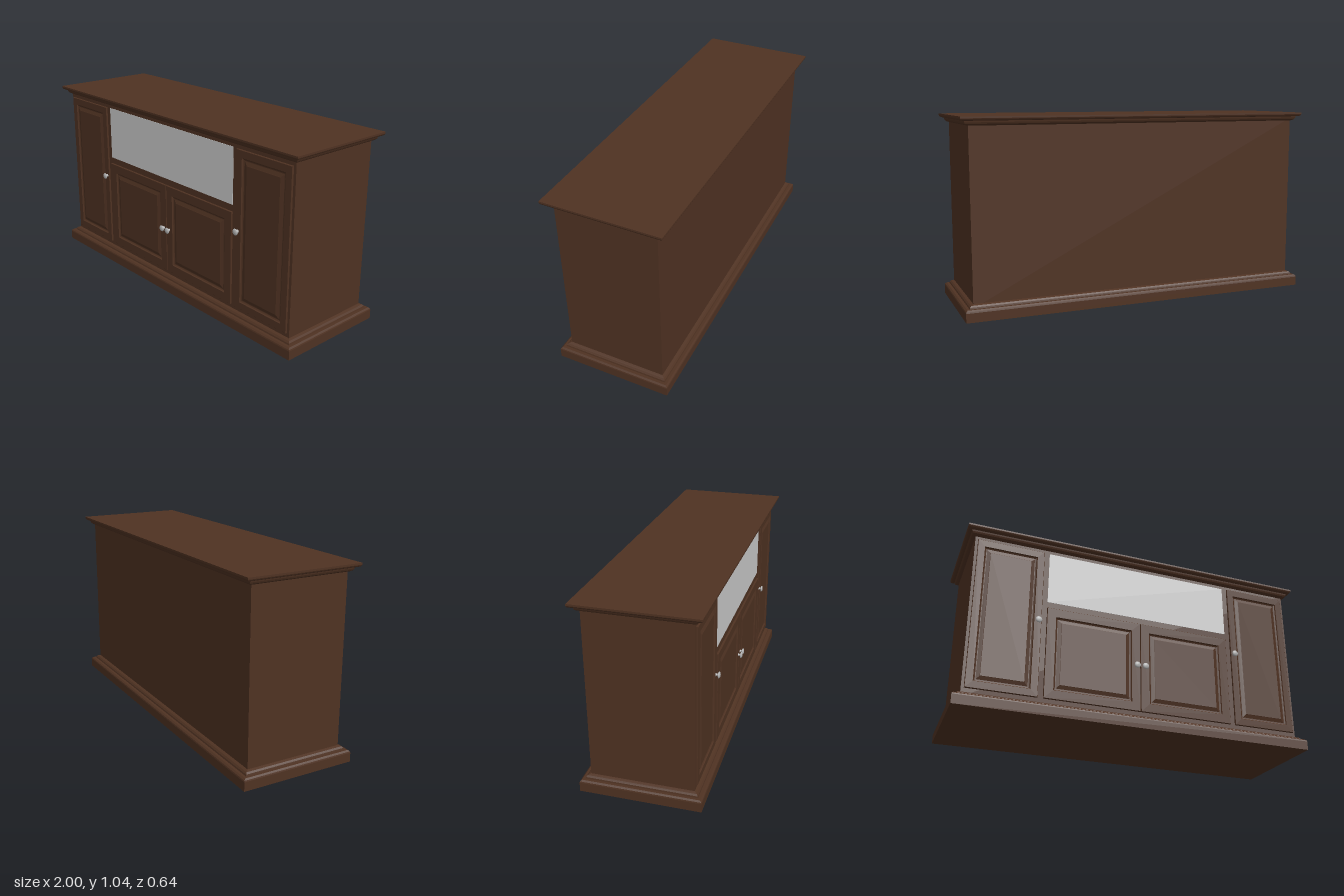
import * as THREE from 'three';

const BODY_X = 0.953, BODY_Z = 0.273;

// Solid from stacked rectangles: profile is a list of [outward offset, height]
function rectLoft(halfX, halfZ, profile) {
  const pos = [], idx = [];
  for (const [o, y] of profile) {
    const x = halfX + o, z = halfZ + o;
    pos.push(x, y, z, x, y, -z, -x, y, -z, -x, y, z);
  }
  const last = (profile.length - 1) * 4;
  for (let r = 0; r < last; r += 4) {
    for (let j = 0; j < 4; j++) {
      const a = r + j, b = r + (j + 1) % 4;
      idx.push(a, b, b + 4, a, b + 4, a + 4);
    }
  }
  idx.push(0, 2, 1, 0, 3, 2, last, last + 1, last + 2, last, last + 2, last + 3);
  const g = new THREE.BufferGeometry();
  g.setAttribute('position', new THREE.Float32BufferAttribute(pos, 3));
  g.setIndex(idx);
  const flat = g.toNonIndexed();
  flat.computeVertexNormals();
  return flat;
}

export function createModel() {
  const model = new THREE.Group();
  model.name = 'mediaCabinet';
  const wood = new THREE.MeshStandardMaterial({ color: 0x4f3222 });
  wood.name = 'dark wood';
  const screen = new THREE.MeshStandardMaterial({ color: 0xcccccc });
  screen.name = 'pale grey panel';
  const metal = new THREE.MeshStandardMaterial({ color: 0xb4b4b4 });
  metal.name = 'knob metal';

  const add = (name, geometry, material, x = 0, y = 0, z = 0) => {
    const mesh = new THREE.Mesh(geometry, material);
    mesh.name = name;
    mesh.position.set(x, y, z);
    model.add(mesh);
    return mesh;
  };

  // Carcass
  add('carcass', new THREE.BoxGeometry(BODY_X * 2, 0.95, BODY_Z * 2), wood, 0, 0.535, 0);

  // Moulded plinth and top
  add('plinth', rectLoft(BODY_X, BODY_Z, [
    [0.047, 0], [0.047, 0.05], [0.045, 0.057], [0.037, 0.064], [0.023, 0.064],
    [0.021, 0.072], [0.014, 0.08], [0.006, 0.083], [0, 0.085],
  ]), wood);
  add('top', rectLoft(BODY_X, BODY_Z, [
    [0, 0.995], [0.01, 0.998], [0.018, 1.004], [0.022, 1.012], [0.024, 1.02],
    [0.034, 1.021], [0.042, 1.024], [0.046, 1.03], [0.047, 1.033], [0.047, 1.042],
  ]), wood);

  // Panel filling the upper middle opening
  add('openingPanel', new THREE.BoxGeometry(1.074, 0.306, 0.004), screen, 0, 0.823, BODY_Z);

  // Doors with a grooved frame and raised field
  const addDoor = (name, x0, x1, y0, y1, frame) => {
    const door = add(name, rectLoft((x1 - x0) / 2, (y1 - y0) / 2, [
      [0, 0], [0, 0.008], [-0.002, 0.01], [-frame, 0.01], [-frame - 0.004, 0.005],
      [-frame - 0.01, 0.002], [-frame - 0.014, 0.002], [-frame - 0.032, 0.008], [-frame - 0.034, 0.009],
    ]), wood, (x0 + x1) / 2, (y0 + y1) / 2, BODY_Z);
    door.rotation.x = Math.PI / 2;
  };

  // Turned knobs
  const knobGeometry = new THREE.LatheGeometry([
    [0.009, 0], [0.009, 0.002], [0.006, 0.004], [0.006, 0.012], [0.012, 0.013],
    [0.017, 0.015], [0.018, 0.018], [0.016, 0.021], [0.01, 0.024], [0, 0.025],
  ].map(([r, h]) => new THREE.Vector2(r, h)), 24);
  const addKnob = (name, x, y) => {
    add(name, knobGeometry, metal, x, y, BODY_Z + 0.0095).rotation.x = Math.PI / 2;
  };

  for (const [side, s] of [['left', 1], ['right', -1]]) {
    const span = (a, b) => (s > 0 ? [a, b] : [-b, -a]);
    addDoor(side + 'TallDoor', ...span(0.567, 0.938), 0.108, 0.975, 0.039);
    addDoor(side + 'CentreDoor', ...span(0.001, 0.537), 0.108, 0.633, 0.05);
    addKnob(side + 'TallDoorKnob', s * 0.585, 0.543);
    addKnob(side + 'CentreDoorKnob', s * 0.024, 0.371);
  }
  return model;
}
